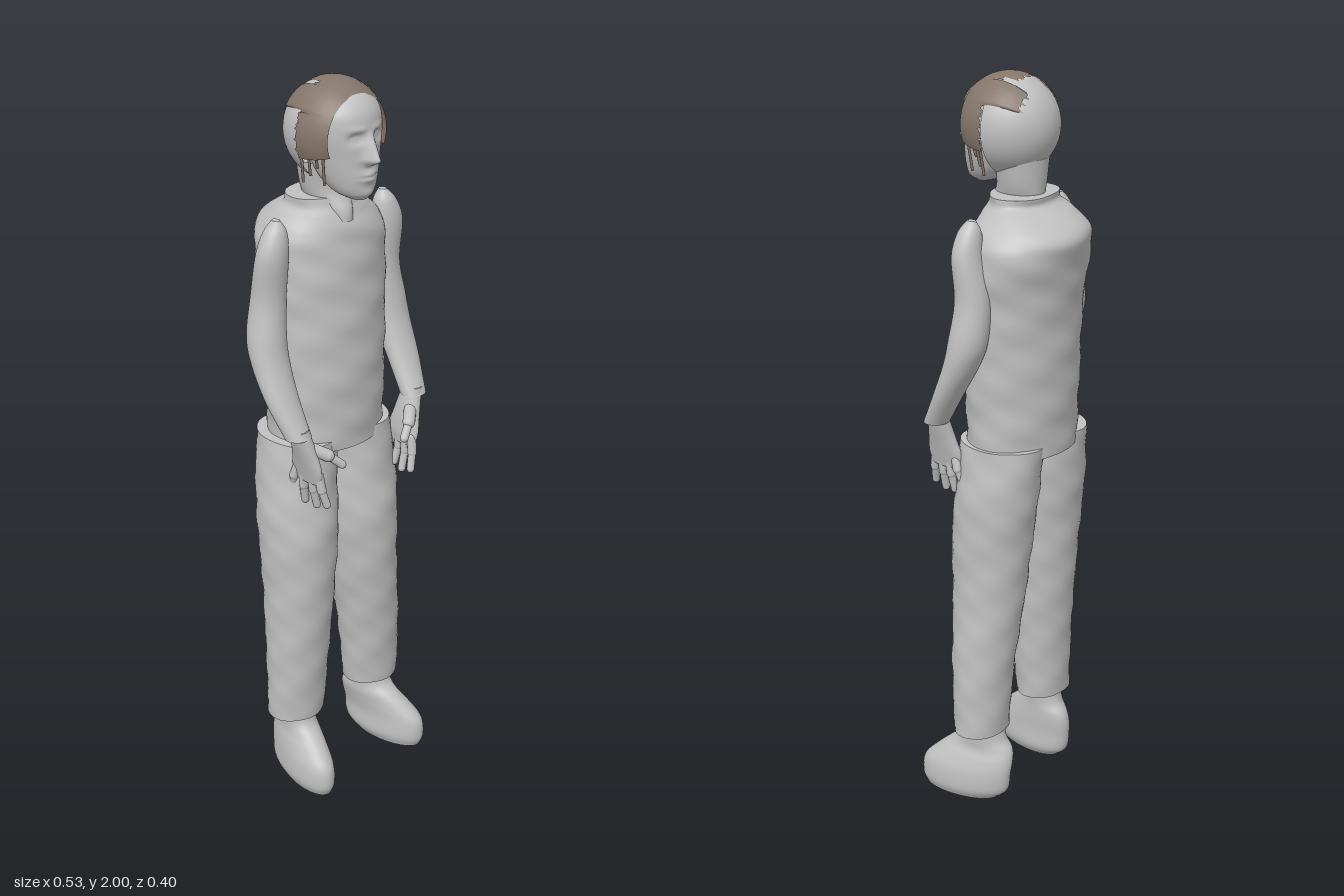
import * as THREE from 'three';

const HEAD_X = -0.012;
const V = (x, y, z) => new THREE.Vector3(x, y, z);
const bell = (v, c, w) => Math.exp(-(((v - c) / w) ** 2));

// Smooth skin over elliptical rings [y, centreX, centreZ, radiusX, radiusZ], listed bottom to top.
function loft(rings, { rows = 40, segs = 40, caps = true, shape } = {}) {
  const centres = new THREE.CatmullRomCurve3(rings.map(r => V(r[1], r[0], r[2])), false, 'catmullrom', 0.5);
  const radii = new THREE.CatmullRomCurve3(rings.map(r => V(r[3], 0, r[4])), false, 'catmullrom', 0.5);
  const pos = [], index = [];
  for (let i = 0; i <= rows; i++) {
    const c = centres.getPoint(i / rows), r = radii.getPoint(i / rows);
    for (let j = 0; j < segs; j++) {
      const a = (j / segs) * Math.PI * 2;
      const p = V(c.x + r.x * Math.cos(a), c.y, c.z + r.z * Math.sin(a));
      if (shape) shape(p, a);
      pos.push(p.x, p.y, p.z);
    }
  }
  for (let i = 0; i < rows; i++) for (let j = 0; j < segs; j++) {
    const k = (j + 1) % segs, a = i * segs, b = a + segs;
    index.push(a + j, b + j, a + k, a + k, b + j, b + k);
  }
  // End caps use their own vertices so the rims stay crisp
  if (caps) for (const row of [0, rows]) {
    const base = pos.length / 3, from = row * segs * 3;
    const ring = pos.slice(from, from + segs * 3);
    pos.push(...ring);
    const c = centres.getPoint(row / rows);
    pos.push(c.x, c.y, c.z);
    for (let j = 0; j < segs; j++) {
      const k = (j + 1) % segs;
      if (row) index.push(base + segs, base + k, base + j);
      else index.push(base + segs, base + j, base + k);
    }
  }
  const g = new THREE.BufferGeometry();
  g.setAttribute('position', new THREE.Float32BufferAttribute(pos, 3));
  g.setIndex(index);
  g.computeVertexNormals();
  return g;
}

// Cloth wrinkles pushed outward along the ring direction
const wrinkle = amount => (p, a) => {
  const d = amount * (Math.sin(p.y * 43 + 3 * a) + Math.sin(p.y * 71 - 5 * a + 1));
  p.x += d * Math.cos(a);
  p.z += d * Math.sin(a);
};

// Nose, eye sockets, brows, lips and chin
function faceRelief(p) {
  if (p.z < 0.08) return;
  const dx = p.x - HEAD_X, ax = Math.abs(dx), y = p.y;
  const slope = y > 1.818 ? Math.max(0, (1.892 - y) / 0.074) : Math.max(0, (y - 1.8) / 0.018);
  p.z += 0.038 * slope * bell(dx, 0, 0.011 + 0.007 * slope);
  p.z -= 0.013 * bell(ax, 0.035, 0.018) * bell(y, 1.873, 0.013);
  p.z += 0.006 * bell(ax, 0.035, 0.01) * bell(y, 1.872, 0.006);
  p.z += 0.004 * bell(ax, 0.03, 0.025) * bell(y, 1.895, 0.008);
  p.z += 0.012 * bell(dx, 0, 0.024) * bell(y, 1.775, 0.014);
  p.z -= 0.008 * bell(dx, 0, 0.024) * bell(y, 1.775, 0.004);
  p.z += 0.004 * bell(dx, 0, 0.02) * bell(y, 1.73, 0.012);
}

// Open patch of hair over the front and crown, with a ragged rear edge
function hairPatch() {
  const cols = 96, rows = 14, pos = [], index = [];
  for (let i = 0; i <= cols; i++) {
    const a = -0.4 + (i / cols) * (Math.PI + 0.8);
    const up = Math.sin(a), side = Math.abs(Math.cos(a));
    let back = up > 0.5 ? -0.058 : 0.03;
    if (side < 0.3) back = -0.02;
    else if (side < 0.4) back = 0.02;
    back += 0.008 * Math.sin(i * 1.9) * Math.sin(i * 0.7);
    for (let j = 0; j <= rows; j++) {
      const z = 0.115 + (back - 0.115) * (j / rows);
      const s = Math.sqrt(1 - ((z - 0.03) / 0.134) ** 2);
      pos.push(HEAD_X + 0.127 * s * Math.cos(a), 1.868 + 0.132 * s * up, z);
      if (i < cols && j < rows) {
        const n = i * (rows + 1) + j, m = n + rows + 1;
        index.push(n, m, n + 1, n + 1, m, m + 1);
      }
    }
  }
  const g = new THREE.BufferGeometry();
  g.setAttribute('position', new THREE.Float32BufferAttribute(pos, 3));
  g.setIndex(index);
  // Order the corners so the patch faces outward
  for (let k = 0; k < index.length; k += 3) g.index.array.set([index[k], index[k + 2], index[k + 1]], k);
  g.computeVertexNormals();
  return g;
}

export function createModel() {
  const model = new THREE.Group();
  const grey = new THREE.MeshStandardMaterial({ color: 0xc0c0c0, side: THREE.DoubleSide });
  grey.name = 'plain grey';
  const brown = new THREE.MeshStandardMaterial({ color: 0x85766b, side: THREE.DoubleSide });
  brown.name = 'hair brown';

  const add = (name, geometry, parent = model, material = grey) => {
    const mesh = new THREE.Mesh(geometry, material);
    mesh.name = name;
    parent.add(mesh);
    return mesh;
  };
  const bone = (name, p, q, radius, parent, material) => {
    const d = q.clone().sub(p);
    const mesh = add(name, new THREE.CapsuleGeometry(radius, d.length(), 6, 12), parent, material);
    mesh.position.copy(p).add(q).multiplyScalar(0.5);
    mesh.quaternion.setFromUnitVectors(V(0, 1, 0), d.normalize());
  };

  // Head
  const head = new THREE.Group();
  head.name = 'head';
  model.add(head);
  const X = HEAD_X;
  add('face', loft([
    [1.712, X, 0.115, 0.022, 0.028], [1.73, X, 0.1, 0.05, 0.055], [1.765, X, 0.08, 0.07, 0.08],
    [1.82, X, 0.065, 0.086, 0.095], [1.88, X, 0.06, 0.097, 0.1], [1.93, X, 0.056, 0.093, 0.096],
    [1.965, X, 0.045, 0.07, 0.078], [1.988, X, 0.03, 0.04, 0.045], [1.996, X, 0.03, 0.004, 0.004],
  ], { rows: 96, segs: 112, shape: faceRelief }), head);
  const skull = add('backOfHead', new THREE.SphereGeometry(1, 40, 32, Math.PI, Math.PI), head);
  skull.scale.set(0.124, 0.13, 0.13);
  skull.position.set(X, 1.868, 0.03);
  add('neck', loft([
    [1.64, X, 0.02, 0.04, 0.07], [1.67, X, 0.01, 0.045, 0.075],
    [1.72, X, -0.005, 0.062, 0.065], [1.79, X, -0.005, 0.075, 0.07],
  ]), head);

  // Hair and loose side strands
  add('hair', hairPatch(), head, brown);
  for (const s of [-1, 1]) for (let i = 0; i < 4; i++) {
    const z = 0.04 + i * 0.018, x = X + s * (0.117 - i * 0.007);
    bone('hairStrand', V(x, 1.84, z), V(x - s * 0.012, 1.755 + 0.02 * (i % 3), z - 0.006), 0.0035, head, brown);
  }

  // Top with a raised collar
  add('shirt', loft([
    [1.02, 0.005, -0.02, 0.17, 0.13], [1.2, 0.005, -0.022, 0.172, 0.137], [1.42, 0.008, -0.03, 0.176, 0.139],
    [1.56, 0.01, -0.046, 0.184, 0.146], [1.615, 0.008, -0.05, 0.165, 0.145], [1.655, 0, -0.035, 0.132, 0.112],
    [1.678, -0.006, -0.018, 0.108, 0.082], [1.7, -0.006, -0.018, 0.105, 0.078],
  ], { rows: 80, segs: 64, shape: wrinkle(0.0014) }));

  for (const s of [-1, 1]) {
    const side = s > 0 ? 'left' : 'right';
    const pick = (l, r) => (s > 0 ? l : -r);

    // Trouser leg
    add(side + 'TrouserLeg', loft([
      [0.205, pick(0.15, 0.135), 0.01, 0.085, 0.07], [0.4, pick(0.137, 0.129), 0.012, 0.092, 0.083],
      [0.6, pick(0.114, 0.122), 0.01, 0.098, 0.1], [0.78, pick(0.103, 0.118), 0.004, 0.107, 0.112],
      [0.9, pick(0.102, 0.11), -0.01, 0.106, 0.115], [1.05, pick(0.09, 0.097), -0.02, 0.096, 0.12],
    ], { rows: 60, shape: wrinkle(0.001) }));

    // Shoe, toes turned slightly outward
    const low = pick(0.172, 0.138), top = pick(0.154, 0.132);
    add(side + 'Shoe', loft([
      [0, low, 0.06, 0.048, 0.11], [0.03, low, 0.05, 0.06, 0.131], [0.08, low, 0.043, 0.058, 0.132],
      [0.12, (low + top) / 2, 0.025, 0.054, 0.115], [0.15, top, 0.012, 0.05, 0.094],
      [0.18, top, 0.006, 0.05, 0.066], [0.23, top, 0.005, 0.054, 0.054],
    ], { shape: p => { p.x += s * 0.14 * (p.z - 0.03); } }));

    // Arm
    const arm = new THREE.Group();
    arm.name = side + 'Arm';
    model.add(arm);
    add('sleeve', loft([
      [1.11, s * 0.205, 0.108, 0.036, 0.033], [1.2, s * 0.214, 0.058, 0.047, 0.037],
      [1.29, s * 0.214, 0.014, 0.052, 0.046], [1.36, s * 0.21, -0.005, 0.052, 0.051],
      [1.46, s * 0.198, -0.01, 0.046, 0.046], [1.57, s * 0.197, 0.005, 0.045, 0.039],
      [1.63, s * 0.188, 0.006, 0.032, 0.03], [1.662, s * 0.182, 0.004, 0.01, 0.012],
    ], { rows: 56 }), arm);

    // Hand
    const hand = new THREE.Group();
    hand.name = side + 'Hand';
    arm.add(hand);
    add('palm', loft([
      [0.975, s * 0.17, 0.106, 0.012, 0.045], [1.01, s * 0.173, 0.106, 0.018, 0.054],
      [1.06, s * 0.183, 0.108, 0.023, 0.043], [1.13, s * 0.203, 0.107, 0.026, 0.027],
    ]), hand);
    const tips = [[0.152, 0.905, 0.158], [0.154, 0.893, 0.122], [0.162, 0.898, 0.085], [0.175, 0.94, 0.053]];
    tips.forEach(([x, y, z], i) => {
      const root = V(s * (0.167 + i * 0.003), 1, 0.144 - i * 0.025), tip = V(s * x, y + 0.01, z);
      const mid = root.clone().lerp(tip, 0.5).add(V(s * 0.004, 0, 0));
      bone('finger', root, mid, 0.0125, hand);
      bone('finger', mid, tip, 0.0105, hand);
    });
    const knuckle = V(s * 0.145, 1.055, 0.155);
    bone('thumb', V(s * 0.185, 1.08, 0.12), knuckle, 0.017, hand);
    bone('thumb', knuckle, V(s * 0.112, 1.025, 0.172), 0.0115, hand);
  }
  return model;
}
